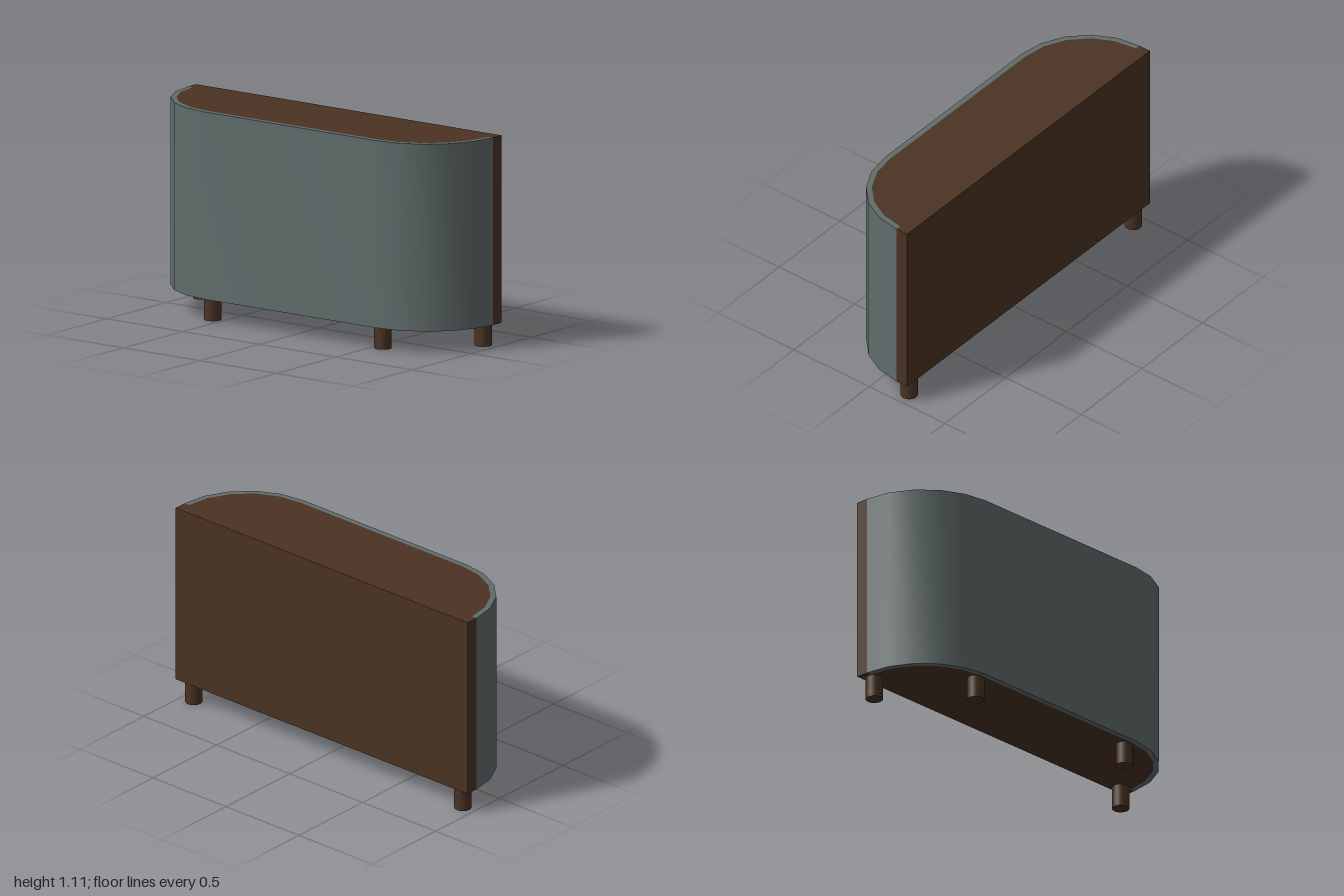
import * as THREE from 'three';
import { toCreasedNormals } from 'three/addons/utils/BufferGeometryUtils.js';

const BOTTOM = 0.12, TOP = 1.11, BACK = -0.25, SPLIT = -0.18;

const wood = new THREE.MeshStandardMaterial({ color: 0x4b3323 });
wood.name = 'dark wood';
const panel = new THREE.MeshStandardMaterial({ color: 0x606c6b });
panel.name = 'grey green panel';

// Plan outline (x, z) of the rounded front, from +x round to -x
function frontCurve(rx, rz) {
  const half = [];
  for (let i = 0; i <= 5; i++) {
    const a = (i / 5) * Math.PI / 2;
    half.push(new THREE.Vector2(0.56 + rx * Math.cos(a), SPLIT + rz * Math.sin(a)));
  }
  const mirrored = half.map(p => new THREE.Vector2(-p.x, p.y)).reverse();
  return [...half, ...mirrored];
}

// Stand a plan outline up between the bottom and top heights
function upright(points, name, material) {
  const geo = new THREE.ExtrudeGeometry(new THREE.Shape(points), { depth: TOP - BOTTOM, bevelEnabled: false });
  geo.rotateX(Math.PI / 2);
  geo.translate(0, TOP, 0);
  const mesh = new THREE.Mesh(toCreasedNormals(geo, 0.5), material);
  mesh.name = name;
  return mesh;
}

export function createModel() {
  const group = new THREE.Group();
  group.name = 'counter';
  const outer = frontCurve(0.44, 0.43);
  const inner = frontCurve(0.41, 0.4);

  // Wooden core, with the full-width strip along the back
  group.add(upright([
    new THREE.Vector2(1, BACK), new THREE.Vector2(1, SPLIT),
    ...inner,
    new THREE.Vector2(-1, SPLIT), new THREE.Vector2(-1, BACK),
  ], 'body', wood));

  // Thin curved panel wrapped round the front
  group.add(upright([...outer, ...inner.slice().reverse()], 'frontPanel', panel));

  // Round feet: wide pair at the back, closer pair in front
  const legGeo = new THREE.CylinderGeometry(0.045, 0.045, BOTTOM, 24);
  for (const [x, z, name] of [
    [0.92, -0.2, 'backLeftLeg'], [-0.925, -0.2, 'backRightLeg'],
    [0.555, 0.175, 'frontLeftLeg'], [-0.56, 0.175, 'frontRightLeg'],
  ]) {
    const leg = new THREE.Mesh(legGeo, wood);
    leg.name = name;
    leg.position.set(x, BOTTOM / 2, z);
    group.add(leg);
  }
  return group;
}
